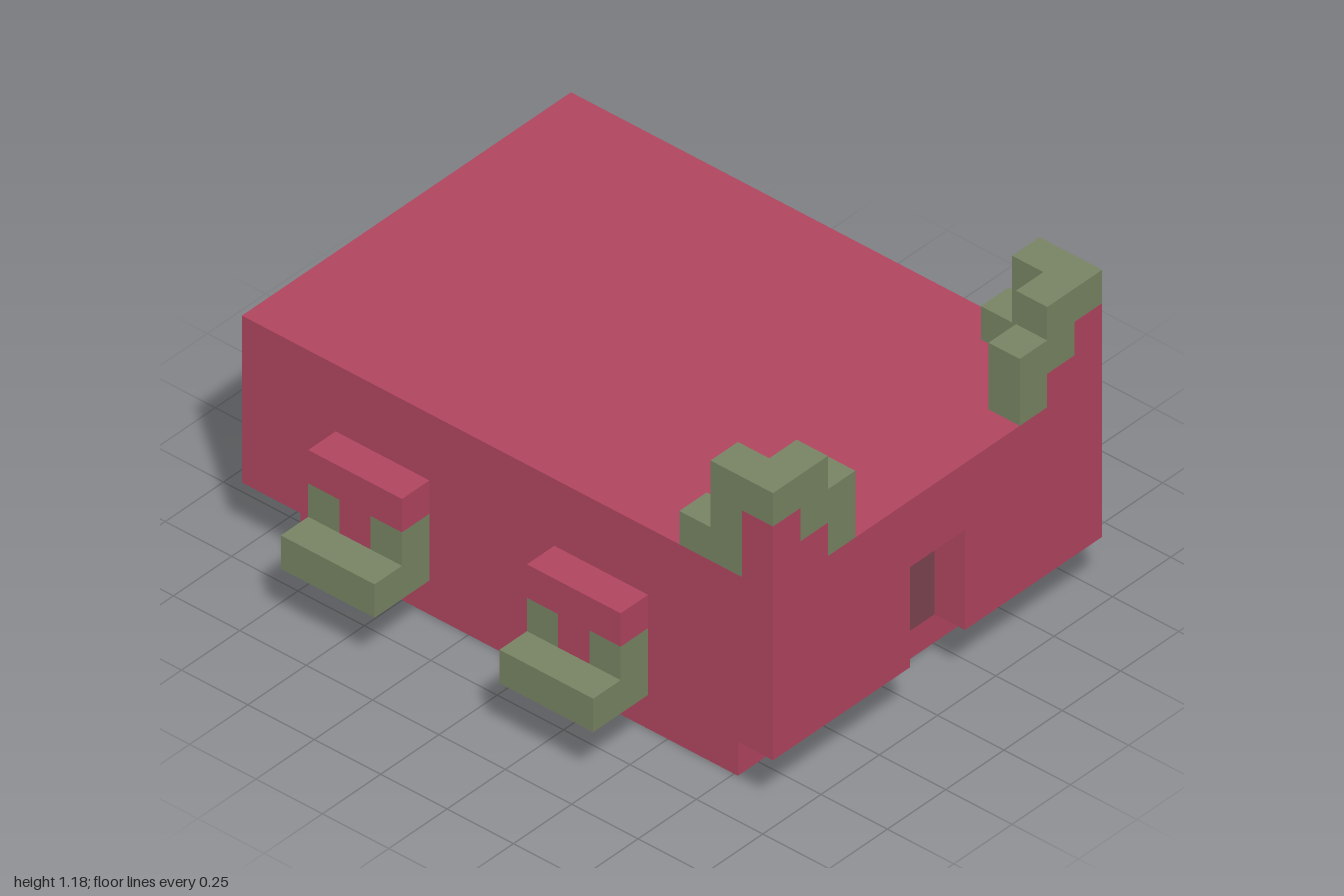
import * as THREE from 'three';

const U = 2 / 17; // one block

export function createModel() {
  const red = new THREE.MeshStandardMaterial({ color: 0xb0455f });
  const green = new THREE.MeshStandardMaterial({ color: 0x778463 });
  const dark = new THREE.MeshStandardMaterial({ color: 0x7d4350 });
  red.name = 'wallRed';
  green.name = 'trimGreen';
  dark.name = 'doorDark';

  const model = new THREE.Group();
  model.name = 'blockBuilding';

  // box from min to max corner in blocks; side mirrors it in x
  const box = (parent, name, material, [x0, y0, z0], [x1, y1, z1], side = 1) => {
    const geometry = new THREE.BoxGeometry((x1 - x0) * U, (y1 - y0) * U, (z1 - z0) * U);
    const mesh = new THREE.Mesh(geometry, material);
    mesh.name = name;
    mesh.position.set(side * (x0 + x1) / 2 * U, (y0 + y1) / 2 * U, (z0 + z1) / 2 * U);
    parent.add(mesh);
  };
  const group = (name) => {
    const g = new THREE.Group();
    g.name = name;
    model.add(g);
    return g;
  };

  // plinth and main body
  box(model, 'base', red, [-5, 0, -7.5], [5, 2, 6.5]);
  box(model, 'body', red, [-6, 2, -8.5], [6, 7, 7.5]);

  // front wall with an open doorway
  const outline = [[-6, 2], [-1, 2], [-1, 5], [1, 5], [1, 2], [6, 2], [6, 7], [-6, 7]];
  const wall = new THREE.Shape(outline.map(([x, y]) => new THREE.Vector2(x * U, y * U)));
  const frontWall = new THREE.Mesh(
    new THREE.ExtrudeGeometry(wall, { depth: U, bevelEnabled: false }), red);
  frontWall.name = 'frontWall';
  frontWall.position.z = 7.5 * U;
  model.add(frontWall);
  box(model, 'door', dark, [-1, 2, 7.48], [1, 5, 7.53]);

  for (const side of [1, -1]) {
    const label = side > 0 ? 'left' : 'right';

    // stepped corner turret
    const turret = group(label + 'Turret');
    box(turret, 'cornerPost', red, [5, 7, 7.5], [6, 9, 8.5], side);
    box(turret, 'innerPost', red, [4, 7, 7.5], [5, 8, 8.5], side);
    box(turret, 'cornerCap', green, [5, 9, 7.5], [6, 10, 8.5], side);
    box(turret, 'innerCap', green, [4, 8, 7.5], [5, 10, 8.5], side);
    box(turret, 'frontStep', green, [3, 7, 7.5], [4, 9, 8.5], side);
    box(turret, 'sidePost', green, [5, 7, 6.5], [6, 10, 7.5], side);
    box(turret, 'sideStep', green, [5, 7, 5.5], [6, 8, 6.5], side);

    // two window bays with ledges
    for (const z of [3, -4]) {
      const bay = group(label + (z > 0 ? 'Front' : 'Rear') + 'Bay');
      box(bay, 'bayTop', red, [6, 4, z - 1.5], [7, 5, z + 1.5], side);
      box(bay, 'bayCentre', red, [6, 2, z - 0.5], [7, 4, z + 0.5], side);
      box(bay, 'frontFrame', green, [6, 2, z + 0.5], [7, 4, z + 1.5], side);
      box(bay, 'rearFrame', green, [6, 2, z - 1.5], [7, 4, z - 0.5], side);
      box(bay, 'ledge', green, [7, 2, z - 1.5], [8, 3, z + 1.5], side);
    }
  }
  return model;
}
